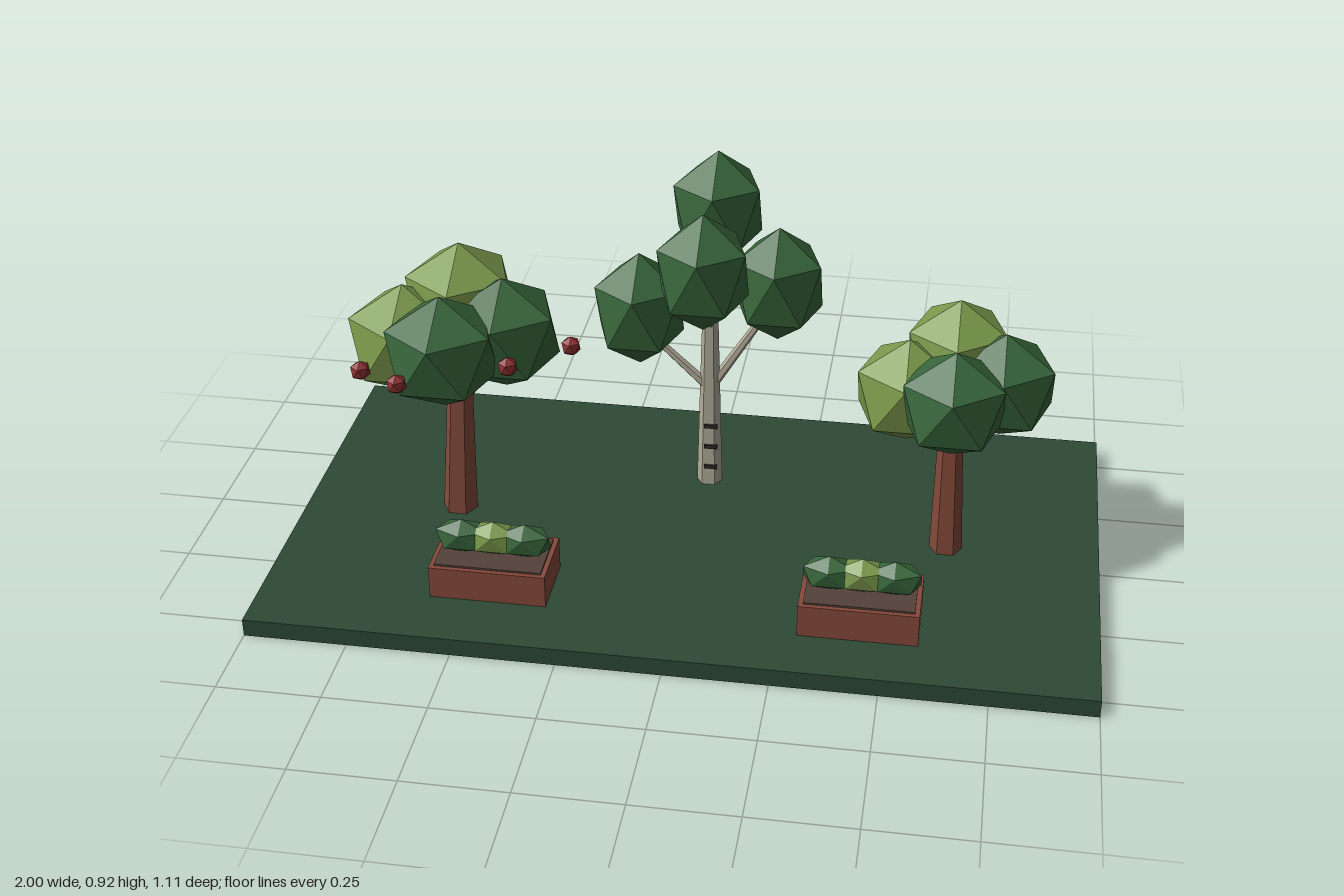
import * as THREE from 'three';

const mat = (name, color) => {
  const m = new THREE.MeshStandardMaterial({ color });
  m.name = name;
  return m;
};

const GROUND_Y = 0.045;

// Faceted ball with a corner pointing straight up
function ballGeometry() {
  const g = new THREE.IcosahedronGeometry(1, 0);
  g.rotateX(-Math.atan2((1 + Math.sqrt(5)) / 2, 1));
  g.computeVertexNormals();
  return g;
}

export function createModel() {
  const model = new THREE.Group();
  model.name = 'garden';

  const grass = mat('grass', 0x2d4a35);
  const darkLeaf = mat('dark leaf', 0x38663b);
  const lightLeaf = mat('light leaf', 0x7b994b);
  const bark = mat('brown bark', 0x854a3b);
  const paleBark = mat('pale bark', 0xb0aa98);
  const barkMark = mat('bark mark', 0x2c2926);
  const fruitRed = mat('fruit red', 0x8e3030);
  const brick = mat('planter brick', 0x874a3c);
  const soilBrown = mat('soil', 0x55423a);

  const ball = ballGeometry();

  const add = (parent, name, geo, material, pos = [0, 0, 0]) => {
    const mesh = new THREE.Mesh(geo, material);
    mesh.name = name;
    mesh.position.set(...pos);
    parent.add(mesh);
    return mesh;
  };

  const blob = (parent, name, material, pos, size) =>
    add(parent, name, ball, material, pos).scale.set(...size);

  // Tapered six-sided limb between two points
  const limb = (parent, name, material, from, to, r0, r1) => {
    const a = new THREE.Vector3(...from);
    const b = new THREE.Vector3(...to);
    const dir = b.clone().sub(a);
    const geo = new THREE.CylinderGeometry(r1, r0, dir.length(), 6)
      .rotateY(Math.PI / 6).toNonIndexed();
    geo.computeVertexNormals();
    const mesh = add(parent, name, geo, material, a.add(b).multiplyScalar(0.5).toArray());
    mesh.quaternion.setFromUnitVectors(new THREE.Vector3(0, 1, 0), dir.normalize());
  };

  const boxAt = (parent, name, material, w, h, d, x, y, z) =>
    add(parent, name, new THREE.BoxGeometry(w, h, d), material, [x, y, z]);

  // Lawn slab
  boxAt(model, 'lawn', grass, 2, GROUND_Y, 1.108, 0, GROUND_Y / 2, 0);

  // Broad trees: leaning trunk, forked branches and four leaf clusters
  const clusters = [
    ['leftLeaves', lightLeaf, [-0.122, 0.48, 0]],
    ['backLeaves', lightLeaf, [0, 0.557, -0.09]],
    ['frontLeaves', darkLeaf, [0, 0.512, 0.108]],
    ['rightLeaves', darkLeaf, [0.122, 0.505, -0.02]],
  ];
  const broadTree = (name, x, scale, lean) => {
    const tree = new THREE.Group();
    tree.name = name;
    tree.position.set(x, GROUND_Y, 0);
    tree.scale.setScalar(scale);
    model.add(tree);
    limb(tree, 'trunk', bark, [-lean, 0, 0], [lean, 0.4, 0], 0.044, 0.031);
    for (const [part, material, p] of clusters) {
      limb(tree, 'branch', bark, [lean * 0.7, 0.31, 0],
        [p[0] * 0.8, p[1] - 0.04, p[2] * 0.8], 0.02, 0.012);
      blob(tree, part, material, p, [0.15, 0.148, 0.15]);
    }
    return tree;
  };
  broadTree('fruitTree', -0.6, 1, 0.01);
  broadTree('plainTree', 0.62, 0.92, -0.004);

  // Fruit hanging around the crown
  const fruits = [
    [-0.8, 0.5, 0.13], [-0.8, 0.5, -0.13], [-0.68, 0.53, 0.23],
    [-0.68, 0.53, -0.22], [-0.44, 0.53, 0.11], [-0.315, 0.52, 0.03 - 0.06],
  ];
  for (const p of fruits) blob(model, 'fruit', fruitRed, p, [0.026, 0.026, 0.026]);

  // Slender pale tree
  const pale = new THREE.Group();
  pale.name = 'paleTree';
  pale.position.set(0, 0, -0.222);
  model.add(pale);
  limb(pale, 'trunk', paleBark, [0, GROUND_Y, 0], [0, 0.73, 0], 0.033, 0.015);
  const paleClusters = [
    ['leftLeaves', [0.166, 0.61, -0.036], 0.32],
    ['rightLeaves', [-0.18, 0.53, -0.005], 0.32],
    ['frontLeaves', [0, 0.71, 0.125], 0.5],
    ['backLeaves', [0, 0.763, -0.13], 0.52],
  ];
  for (const [part, p, start] of paleClusters) {
    limb(pale, 'branch', paleBark, [0, start, 0], [p[0] * 0.9, p[1] - 0.06, p[2] * 0.9], 0.014, 0.009);
    blob(pale, part, darkLeaf, p, [0.126, 0.155, 0.126]);
  }
  // Dark bars on the front of the pale trunk
  [0.1, 0.16, 0.22].forEach((y, i) =>
    boxAt(pale, 'barkMark', barkMark, 0.034, 0.01, 0.008, 0.006, y, 0.0285 - i * 0.0012));

  // Planters with a row of three little bushes
  const planter = (x, z) => {
    const group = new THREE.Group();
    group.name = 'planter';
    group.position.set(x, GROUND_Y, z);
    model.add(group);
    boxAt(group, 'planterBox', brick, 0.283, 0.083, 0.17, 0, 0.0415, 0);
    boxAt(group, 'soil', soilBrown, 0.26, 0.006, 0.148, 0, 0.085, 0);
    for (const i of [-1, 0, 1]) {
      blob(group, 'bush', i ? darkLeaf : lightLeaf, [i * 0.077, 0.126, 0], [0.072, 0.046, 0.043]);
    }
  };
  planter(-0.445, 0.31);
  planter(0.44, 0.33);

  return model;
}
